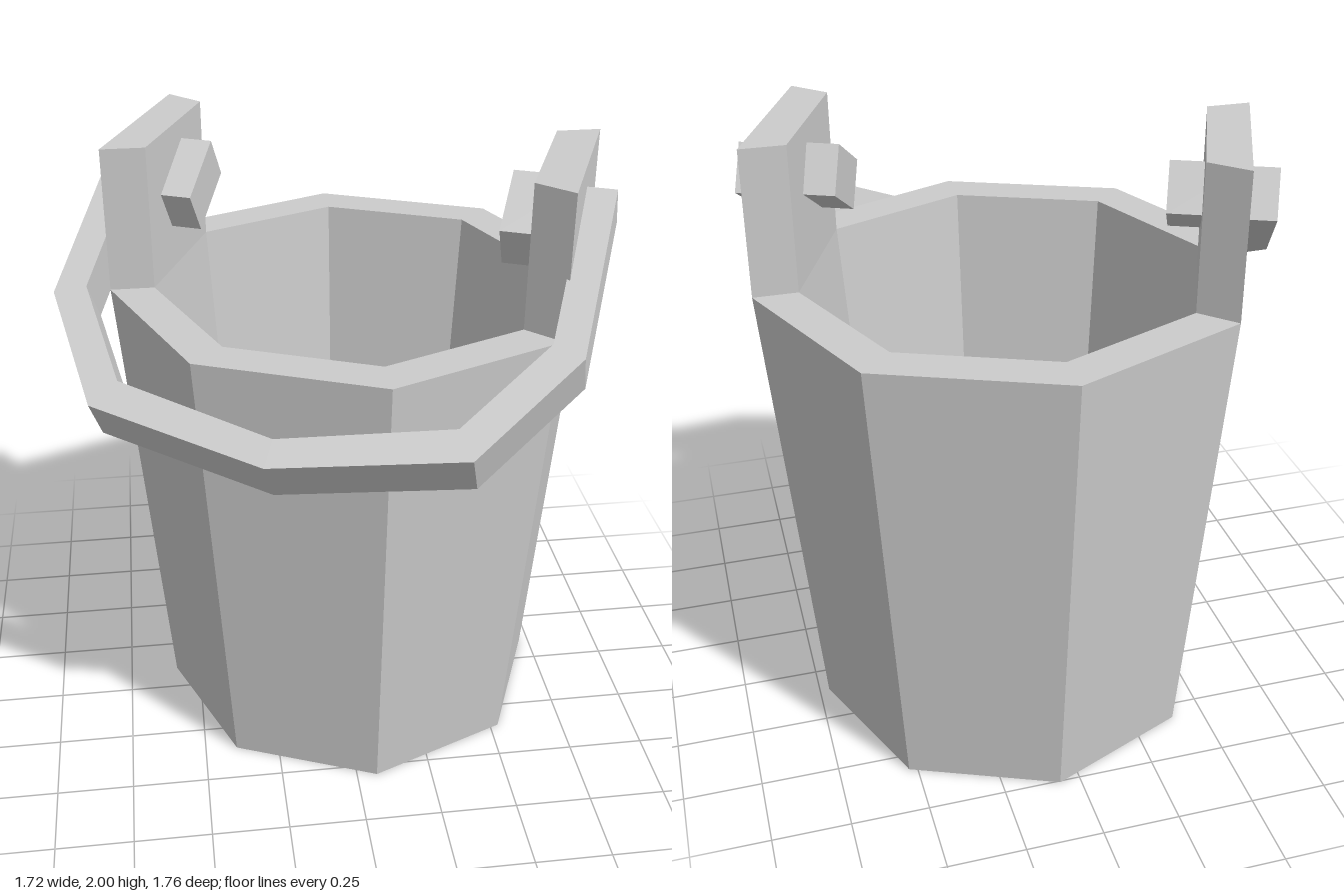
import * as THREE from 'three';

const RIM_Y = 1.54, RIM_OUTER = 0.778, RIM_INNER = 0.639;

const material = new THREE.MeshStandardMaterial({ color: 0xcccccc, flatShading: true });

function makeMesh(name, geometry) {
  const mesh = new THREE.Mesh(geometry, material);
  mesh.name = name;
  return mesh;
}

function extrude(points, depth) {
  const shape = new THREE.Shape(points.map(([x, y]) => new THREE.Vector2(x, y)));
  return new THREE.ExtrudeGeometry(shape, { depth, bevelEnabled: false });
}

// Tapered eight-sided tub with a thick wall and a sunken floor
function makeTub() {
  const profile = [
    [0, 0], [0.651, 0], [RIM_OUTER, RIM_Y], [RIM_INNER, RIM_Y], [0.533, 0.2], [0, 0.2],
  ].map(([r, y]) => new THREE.Vector2(r, y));
  return makeMesh('tub', new THREE.LatheGeometry(profile, 8));
}

// Upright ear standing on one side of the rim
function makeEar(name, startAngle) {
  const corner = (r, a) => [r * Math.cos(a), r * Math.sin(a)];
  const end = startAngle + Math.PI / 4;
  const geometry = extrude([
    corner(RIM_INNER, startAngle), corner(RIM_OUTER, startAngle),
    corner(RIM_OUTER, end), corner(RIM_INNER, end),
  ], 2 - RIM_Y);
  geometry.rotateX(Math.PI / 2).translate(0, 2, 0);
  return makeMesh(name, geometry);
}

// Faceted bail handle with hinge pins, drawn flat and then swung forward and down
function makeHandle() {
  const width = 0.156;
  const outer = [[0.81, 0], [0.81, 0.606], [0.568, 0.977]];
  const inner = [[0.714, 0], [0.714, 0.57], [0.508, 0.882]];
  const mirror = (pts) => pts.map(([x, y]) => [-x, y]).reverse();
  const outline = [
    ...outer, [0, 1.093], ...mirror(outer),
    ...mirror(inner).reverse(), [0, 0.997], ...[...inner].reverse(),
  ];
  const handle = new THREE.Group();
  handle.name = 'handle';
  handle.add(makeMesh('bail', extrude(outline, width)));

  // Pins pass through the ears and show on the inside
  for (const side of [1, -1]) {
    const pin = makeMesh(side > 0 ? 'leftPin' : 'rightPin', new THREE.BoxGeometry(0.225, 0.235, width));
    pin.position.set(side * 0.6025, 0.08, width / 2);
    handle.add(pin);
  }
  handle.rotation.order = 'YXZ';
  handle.rotation.set(THREE.MathUtils.degToRad(121), THREE.MathUtils.degToRad(-23.6), 0);
  handle.position.set(0.006, 1.915, -0.013);
  return handle;
}

export function createModel() {
  const bucket = new THREE.Group();
  bucket.name = 'bucket';
  bucket.add(makeTub(), makeEar('leftEar', 0), makeEar('rightEar', Math.PI), makeHandle());
  // Offset so that bucket and swung handle are centred together
  bucket.position.set(0.067, 0, -0.105);

  const model = new THREE.Group();
  model.add(bucket);
  return model;
}
